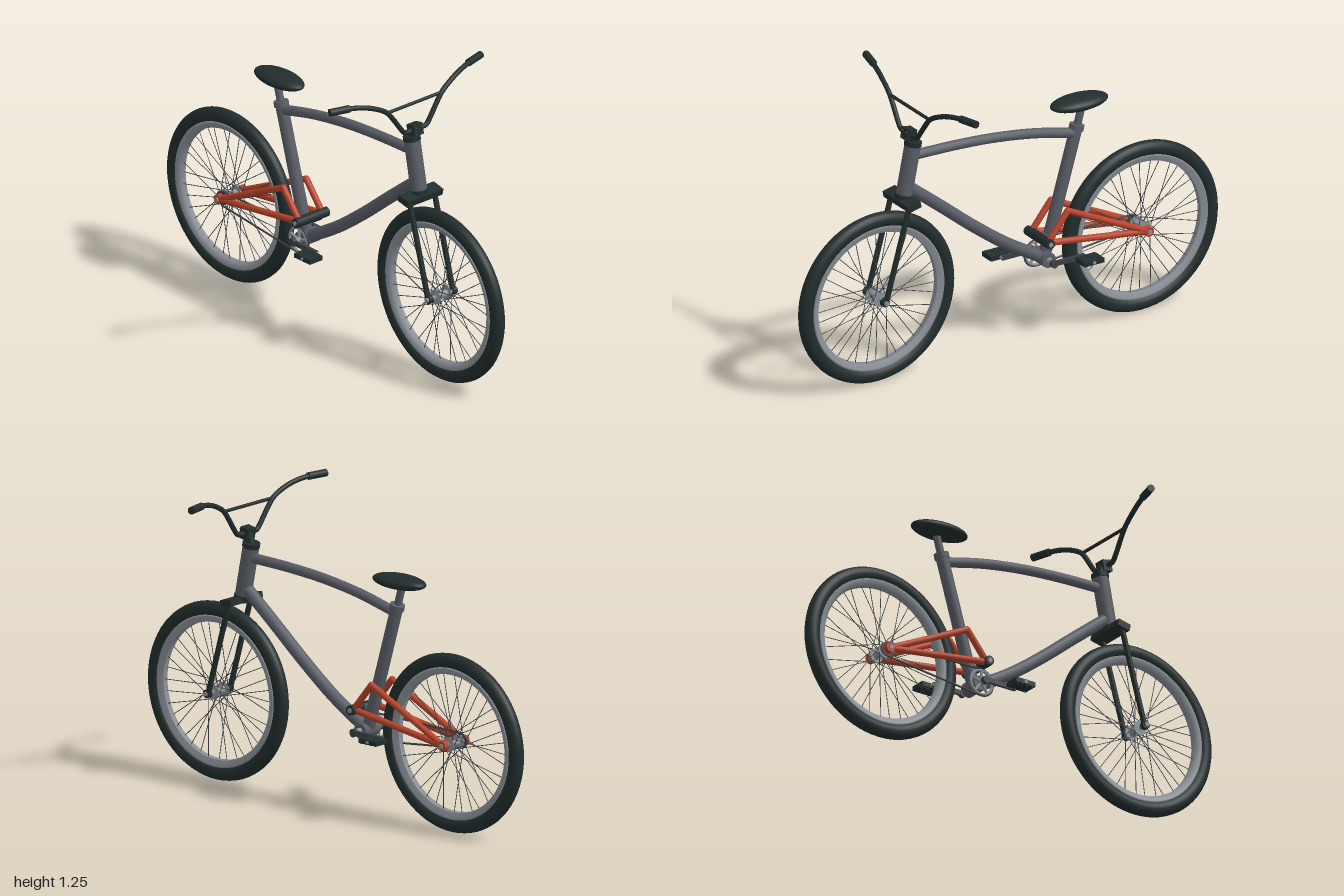
import * as THREE from 'three';
import { mergeGeometries } from 'three/addons/utils/BufferGeometryUtils.js';

const material = (name, color) => new THREE.MeshStandardMaterial({ name, color });
const V = (x, y, z = 0) => new THREE.Vector3(x, y, z);

export function createModel() {
  const black = material('black rubber', 0x222d2d);
  const grey = material('frame grey', 0x5a5d66);
  const red = material('red paint', 0xb8432b);
  const silver = material('silver metal', 0x8a9197);
  const steel = material('dark steel', 0x3c4043);

  const bike = new THREE.Group();
  bike.name = 'bicycle';

  const add = (name, geometry, mat, parent = bike) => {
    const mesh = new THREE.Mesh(geometry, mat);
    mesh.name = name;
    parent.add(mesh);
    return mesh;
  };
  // Straight round bar between two points
  const rodGeo = (a, b, r, r2 = r, sides = 16) => {
    const dir = b.clone().sub(a);
    const geo = new THREE.CylinderGeometry(r2, r, dir.length(), sides);
    geo.applyQuaternion(new THREE.Quaternion().setFromUnitVectors(V(0, 1), dir.normalize()));
    const mid = a.clone().add(b).multiplyScalar(0.5);
    return geo.translate(mid.x, mid.y, mid.z);
  };
  const rod = (name, a, b, r, mat, parent) => add(name, rodGeo(a, b, r), mat, parent);
  // Cylinder lying across the bike
  const axle = (name, x, y, z0, z1, r, mat, parent) =>
    rod(name, V(x, y, z0), V(x, y, z1), r, mat, parent);
  const bent = (name, pts, r, mat, segments = 32) =>
    add(name, new THREE.TubeGeometry(new THREE.CatmullRomCurve3(pts), segments, r, 14), mat);
  const box = (name, w, h, d, x, y, z, mat) => {
    const mesh = add(name, new THREE.BoxGeometry(w, h, d), mat);
    mesh.position.set(x, y, z);
    return mesh;
  };

  // Wheels
  const wheelX = 0.631, wheelY = 0.372;
  for (const [name, x] of [['rearWheel', -wheelX], ['frontWheel', wheelX]]) {
    const wheel = new THREE.Group();
    wheel.name = name;
    wheel.position.set(x, wheelY, 0);
    bike.add(wheel);

    add('tyre', new THREE.TorusGeometry(0.337, 0.032, 18, 72), black, wheel).scale.z = 0.92;
    const profile = [[0.284, -0.012], [0.306, -0.021], [0.314, -0.02], [0.314, 0.02],
      [0.306, 0.021], [0.284, 0.012], [0.284, -0.012]];
    const rim = new THREE.LatheGeometry(profile.map(p => new THREE.Vector2(...p)), 64);
    add('rim', rim.rotateX(Math.PI / 2), silver, wheel).material.side = THREE.DoubleSide;

    axle('hub', 0, 0, -0.035, 0.035, 0.015, silver, wheel);
    axle('axle', 0, 0, -0.078, 0.078, 0.009, silver, wheel);
    for (const s of [-1, 1]) axle('hubFlange', 0, 0, s * 0.027, s * 0.033, 0.031, silver, wheel);

    const spokes = [];
    for (let i = 0; i < 36; i++) {
      const a = (i / 36) * Math.PI * 2;
      const side = i % 2 ? 1 : -1;
      const h = a + (i % 4 < 2 ? 1.25 : -1.25);
      spokes.push(rodGeo(V(Math.cos(h) * 0.028, Math.sin(h) * 0.028, side * 0.03),
        V(Math.cos(a) * 0.287, Math.sin(a) * 0.287, side * 0.004), 0.0016, 0.0016, 5));
    }
    add('spokes', mergeGeometries(spokes), steel, wheel);
  }

  // Main frame
  const bbX = -0.168, bbY = 0.35;
  rod('seatTube', V(-0.175, 0.36), V(-0.328, 0.885), 0.026, grey);
  rod('seatClamp', V(-0.325, 0.873), V(-0.331, 0.896), 0.031, grey);
  rod('seatPost', V(-0.325, 0.87), V(-0.355, 0.975), 0.016, grey);
  bent('topTube', [V(-0.32, 0.86), V(-0.13, 0.905), V(0.064, 0.934), V(0.25, 0.948), V(0.455, 0.954)], 0.021, grey);
  bent('downTube', [V(-0.165, 0.35), V(0.01, 0.455), V(0.17, 0.573), V(0.32, 0.695), V(0.487, 0.828)], 0.026, grey);
  rod('headTube', V(0.498, 0.79), V(0.455, 1.005), 0.034, grey);
  axle('bottomBracketShell', bbX, bbY, -0.045, 0.045, 0.032, grey);

  // Saddle
  const saddle = add('saddle', new THREE.SphereGeometry(1, 32, 20), black);
  saddle.scale.set(0.133, 0.03, 0.066);
  saddle.position.set(-0.34, 0.992, 0);

  // Headset, stem and fork
  rod('upperHeadset', V(0.457, 0.998), V(0.453, 1.018), 0.036, black);
  rod('lowerHeadset', V(0.502, 0.77), V(0.497, 0.795), 0.037, black);
  rod('stemPost', V(0.455, 1.01), V(0.468, 1.06), 0.017, black);
  box('stemClamp', 0.042, 0.048, 0.05, 0.475, 1.054, 0, black).rotation.z = 0.2;
  for (const y of [-0.014, 0.014]) for (const z of [-0.015, 0.015])
    rod('clampBolt', V(0.49, 1.054 + y, z), V(0.501, 1.056 + y, z), 0.004, steel);
  box('forkCrown', 0.06, 0.028, 0.19, 0.507, 0.773, 0, black).rotation.z = -0.22;
  for (const s of [-1, 1]) {
    rod('forkLeg', V(0.513, 0.775, s * 0.067), V(0.628, 0.366, s * 0.067), 0.0115, black);
    axle('forkDropout', wheelX, wheelY, s * 0.055, s * 0.074, 0.018, black);
    axle('frontAxleNut', wheelX, wheelY, s * 0.07, s * 0.082, 0.01, silver);
  }

  // Handlebar
  const half = [[0.476, 1.054, 0.03], [0.476, 1.056, 0.058], [0.475, 1.085, 0.083], [0.473, 1.13, 0.115],
    [0.47, 1.172, 0.15], [0.462, 1.203, 0.205], [0.45, 1.223, 0.265], [0.436, 1.232, 0.325], [0.418, 1.234, 0.4]];
  bent('handlebar', [...half.map(([x, y, z]) => V(x, y, -z)).reverse(), ...half.map(p => V(...p))], 0.0105, black, 96);
  rod('crossbar', V(0.471, 1.17, -0.147), V(0.471, 1.17, 0.147), 0.007, black);
  for (const s of [-1, 1])
    rod('grip', V(0.436, 1.232, s * 0.322), V(0.415, 1.234, s * 0.408), 0.0155, black);

  // Rear swingarm, one triangle each side
  for (const s of [-1, 1]) {
    const arm = new THREE.Group();
    arm.name = 'swingarm';
    bike.add(arm);
    const z = s * 0.062;
    const corners = [V(-wheelX, wheelY, z), V(-0.246, 0.558, z), V(-0.15, 0.44, z)];
    corners.forEach((p, i) => {
      rod('swingarmTube', p, corners[(i + 1) % 3], 0.0135, red, arm);
      add('swingarmJoint', new THREE.SphereGeometry(0.0138, 14, 10), red, arm).position.copy(p);
    });
    axle('rearDropout', -wheelX, wheelY, s * 0.05, s * 0.074, 0.021, red, arm);
    axle('rearAxleNut', -wheelX, wheelY, s * 0.07, s * 0.08, 0.01, silver, arm);
    axle('pivotCap', -0.15, 0.44, s * 0.074, s * 0.086, 0.02, black);
    axle('pivotBolt', -0.15, 0.44, s * 0.084, s * 0.09, 0.01, silver);
  }
  axle('pivotAxle', -0.15, 0.44, -0.076, 0.076, 0.021, black);
  rod('pivotBracket', V(-0.2, 0.425), V(-0.15, 0.44), 0.02, grey);

  // Chainring, sprocket and chain
  const chainZ = 0.05, ringR = 0.058, cogR = 0.031;
  const ring = add('chainring', new THREE.TorusGeometry(ringR - 0.006, 0.006, 8, 40), silver);
  ring.position.set(bbX, bbY, chainZ);
  for (let i = 0; i < 5; i++) {
    const a = i * Math.PI * 0.4 + 0.3;
    rod('chainringArm', V(bbX, bbY, chainZ), V(bbX + Math.cos(a) * 0.052, bbY + Math.sin(a) * 0.052, chainZ), 0.006, silver);
  }
  axle('rearSprocket', -wheelX, wheelY, 0.044, 0.05, cogR, steel);
  for (const s of [-1, 1])
    rod('chainRun', V(-wheelX, wheelY + s * cogR, chainZ), V(bbX, bbY + s * ringR, chainZ), 0.004, steel);
  const wrap = new THREE.TorusGeometry(ringR, 0.004, 6, 24, Math.PI).rotateZ(-Math.PI / 2);
  add('chainWrap', wrap, steel).position.set(bbX, bbY, chainZ);

  // Cranks and pedals
  axle('crankSpindle', bbX, bbY, -0.088, 0.088, 0.014, silver);
  for (const s of [-1, 1]) {
    const pedalX = bbX + s * 0.142;
    box('crankArm', 0.15, 0.02, 0.013, bbX + s * 0.07, bbY, s * 0.081, steel);
    axle('crankBoss', bbX, bbY, s * 0.072, s * 0.09, 0.017, steel);
    axle('pedalSpindle', pedalX, bbY, s * 0.075, s * 0.163, 0.007, silver);
    box('pedal', 0.094, 0.02, 0.068, pedalX, bbY, s * 0.126, black);
    // Grip pins on both pedal faces
    const pins = [];
    for (const px of [-0.036, -0.012, 0.012, 0.036]) for (const pz of [-0.026, 0.026])
      pins.push(new THREE.CylinderGeometry(0.003, 0.003, 0.028, 8).translate(pedalX + px, bbY, s * 0.126 + pz));
    add('pedalPins', mergeGeometries(pins), steel);
  }

  // Rest on the ground, centred
  const bounds = new THREE.Box3().setFromObject(bike);
  const centre = bounds.getCenter(V(0, 0));
  bike.position.set(-centre.x, -bounds.min.y, -centre.z);
  return bike;
}
